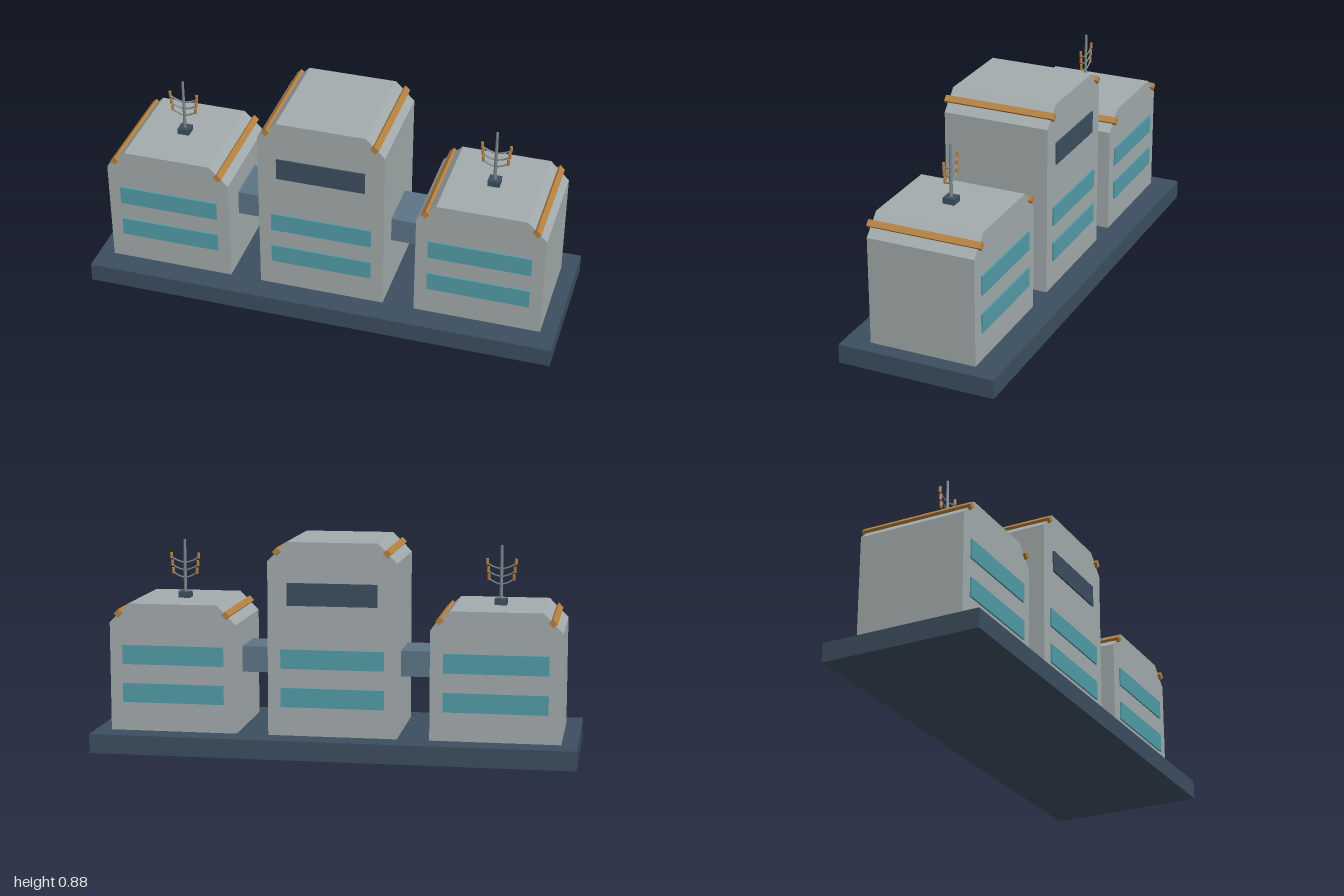
import * as THREE from 'three';

const mat = (name, color) => {
  const m = new THREE.MeshStandardMaterial({ color });
  m.name = name;
  return m;
};

export function createModel() {
  const wall = mat('grey concrete', 0xa3abac);
  const navy = mat('dark navy', 0x3c4e5f);
  const orange = mat('copper', 0xb5813f);
  const teal = mat('teal glass', 0x529da8);
  const slate = mat('slate blue', 0x5d7587);
  const metal = mat('mast metal', 0x7d878c);

  const model = new THREE.Group();
  model.name = 'powerStation';

  const add = (parent, name, geometry, material, x = 0, y = 0, z = 0) => {
    const mesh = new THREE.Mesh(geometry, material);
    mesh.name = name;
    mesh.position.set(x, y, z);
    parent.add(mesh);
    return mesh;
  };
  const box = (parent, name, w, h, d, material, x, y, z) =>
    add(parent, name, new THREE.BoxGeometry(w, h, d), material, x, y, z);

  const FLOOR = 0.08, HALF = 0.267, DEPTH = 0.453, CUT = 0.08;

  // Block with bevelled roof edges, copper rails and two rows of windows
  function building(name, x, top) {
    const g = new THREE.Group();
    g.name = name;
    g.position.x = x;
    model.add(g);

    const outline = new THREE.Shape([
      [-HALF, FLOOR], [HALF, FLOOR], [HALF, top - CUT],
      [HALF - CUT, top], [CUT - HALF, top], [-HALF, top - CUT],
    ].map(([px, py]) => new THREE.Vector2(px, py)));
    add(g, 'walls', new THREE.ExtrudeGeometry(outline, { depth: DEPTH, bevelEnabled: false }),
      wall, 0, 0, -DEPTH / 2);

    for (const s of [-1, 1]) {
      const rail = box(g, 'roofRail', 0.027, 0.023, 0.48, orange,
        s * (HALF - CUT / 2), top - CUT / 2 + 0.001, 0);
      rail.rotation.z = -s * Math.PI / 4;
      for (const y of [0.24, 0.4])
        box(g, 'windowBand', 0.427, 0.08, 0.007, teal, 0, y, s * (DEPTH / 2 + 0.0035));
    }
    return g;
  }

  // Mast with three pairs of raised arms ending in insulators
  function antenna(parent, y0) {
    const g = new THREE.Group();
    g.name = 'antenna';
    g.position.y = y0;
    parent.add(g);
    box(g, 'antennaFoot', 0.05, 0.025, 0.05, navy, 0, 0.0125, 0);
    add(g, 'mast', new THREE.CylinderGeometry(0.0055, 0.0075, 0.22, 8), metal, 0, 0.135, 0);
    for (let i = 0; i < 3; i++) {
      const reach = 0.049 + i * 0.004, y = 0.083 + i * 0.032;
      for (const s of [-1, 1]) {
        const curve = new THREE.QuadraticBezierCurve3(
          new THREE.Vector3(0, y, 0),
          new THREE.Vector3(s * reach * 0.65, y + 0.007, 0),
          new THREE.Vector3(s * reach, y + 0.022, 0));
        add(g, 'antennaArm', new THREE.TubeGeometry(curve, 6, 0.0035, 6), metal);
        add(g, 'insulator', new THREE.CylinderGeometry(0.0062, 0.0062, 0.025, 8), orange,
          s * (reach + 0.002), y + 0.03, 0);
      }
    }
  }

  // Base slab
  box(model, 'base', 2, FLOOR, 0.667, navy, 0, FLOOR / 2, 0);

  // Central tower with an upper control-room window on both faces
  const tower = building('centralTower', 0, 0.88);
  for (const s of [-1, 1])
    box(tower, 'upperWindow', 0.373, 0.093, 0.007, navy, 0, 0.667, s * (DEPTH / 2 + 0.0035));

  // Side halls, each with an antenna and a bridge to the tower
  for (const [side, s] of [['right', -1], ['left', 1]]) {
    const hall = building(side + 'Hall', s * 0.667, 0.613);
    antenna(hall, 0.613);
    box(model, side + 'Bridge', 0.14, 0.107, 0.213, slate, s * 0.3335, 0.373, 0);
  }

  return model;
}
